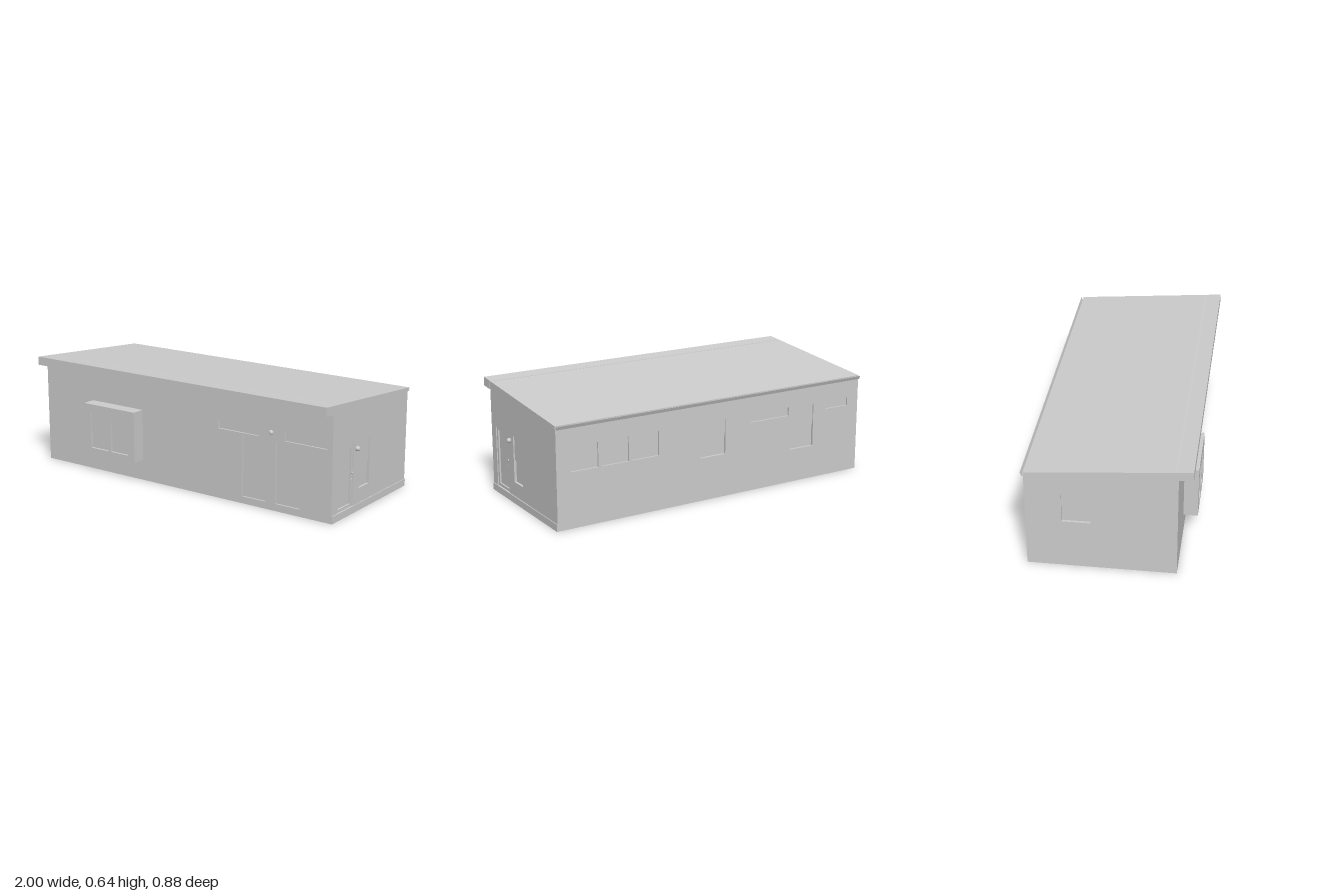
import * as THREE from 'three';

const X0 = -1, X1 = 0.978, Z0 = -0.425, Z1 = 0.365, T = 0.02;
const roofY = z => 0.604 + z * 0.083;

export function createModel() {
  const model = new THREE.Group();
  model.name = 'house';
  const plaster = new THREE.MeshStandardMaterial({ color: 0xcccccc });
  plaster.name = 'light grey plaster';

  function add(parent, geometry, name, x = 0, y = 0, z = 0) {
    const mesh = new THREE.Mesh(geometry, plaster);
    mesh.name = name;
    mesh.position.set(x, y, z);
    parent.add(mesh);
    return mesh;
  }
  const box = (parent, name, [x0, x1], [y0, y1], [z0, z1]) =>
    add(parent, new THREE.BoxGeometry(x1 - x0, y1 - y0, z1 - z0), name,
      (x0 + x1) / 2, (y0 + y1) / 2, (z0 + z1) / 2);
  const polygon = pts => new THREE.Shape(pts.map(p => new THREE.Vector2(...p)));
  const rect = (a, b, c, d) => [[a, c], [b, c], [b, d], [a, d]];
  const extrude = (shape, depth) =>
    new THREE.ExtrudeGeometry(shape, { depth, bevelEnabled: false });

  // A wall facing local +z, its outer face at z = 0, with recessed openings.
  // Opening: u0, u1, y0, y1 and an optional meeting-rail height or door leaf.
  function wall(name, outline, openings) {
    const group = new THREE.Group();
    group.name = name;
    const shape = polygon(outline);
    for (const o of openings) {
      shape.holes.push(polygon(rect(o.u[0], o.u[1], o.y[0], o.y[1])));
      if (o.rail) {
        box(group, 'upperSash', o.u, [o.rail, o.y[1]], [-T, -0.007]);
        box(group, 'lowerSash', o.u, [o.y[0], o.rail], [-T, -0.014]);
      } else if (o.leaf) {
        const b = o.leaf;
        const frame = polygon(rect(o.u[0], o.u[1], o.y[0], o.y[1]));
        frame.holes.push(polygon(rect(o.u[0] + b, o.u[1] - b, o.y[0] + b, o.y[1] - b)));
        add(group, extrude(frame, 0.015), 'doorFrame', 0, 0, -T);
        box(group, 'doorLeaf', o.u, o.y, [-T, -0.014]);
      } else {
        box(group, o.name || 'windowPane', o.u, o.y, [-T, -0.01]);
      }
    }
    add(group, extrude(shape, T), name + 'Panel', 0, 0, -T);
    model.add(group);
    return group;
  }

  // Front wall: two doors with long narrow windows above
  const frontTop = roofY(Z1);
  wall('frontWall', rect(X0 + T, X1 - T, 0, frontTop), [
    { u: [0.415, 0.565], y: [0.04, 0.385], name: 'frontDoor' },
    { u: [0.63, 0.785], y: [0.04, 0.385], name: 'frontDoor' },
    { u: [0.255, 0.52], y: [0.397, 0.447] },
    { u: [0.685, 0.945], y: [0.397, 0.447] },
  ]).position.z = Z1;

  // Back wall, where u runs along -x
  const back = wall('backWall', rect(-X1 + T, -X0 - T, 0, roofY(Z0)), [
    ...[-0.896, -0.713, -0.527].map(u => ({ u: [u, u + 0.163], y: [0.31, 0.448] })),
    { u: [-0.1, 0.065], y: [0.247, 0.447], rail: 0.347 },
    { u: [0.233, 0.498], y: [0.4, 0.45] },
    { u: [0.512, 0.675], y: [0.195, 0.447], rail: 0.322 },
    { u: [0.763, 0.923], y: [0.4, 0.447] },
  ]);
  back.rotation.y = Math.PI;
  back.position.z = Z0;

  // Door end, where u runs along -z
  const doorEnd = wall('leftWall',
    [[-Z1, 0], [-Z0, 0], [-Z0, roofY(Z0)], [-Z1, frontTop]], [
      { u: [-0.31, -0.153], y: [0.04, 0.385], leaf: 0.016 },
      { u: [-0.088, 0.017], y: [0.123, 0.385], rail: 0.25 },
    ]);
  doorEnd.rotation.y = Math.PI / 2;
  doorEnd.position.x = X1;

  // Plain end, where u runs along +z
  const plainEnd = wall('rightWall',
    [[Z0, 0], [Z1, 0], [Z1, frontTop], [Z0, roofY(Z0)]],
    [{ u: [-0.235, -0.085], y: [0.282, 0.452], rail: 0.37 }]);
  plainEnd.rotation.y = -Math.PI / 2;
  plainEnd.position.x = X0;

  // Bay window box on the front
  const bay = wall('bayWindow', rect(-0.645, -0.275, 0.12, 0.415), [
    { u: [-0.598, -0.47], y: [0.155, 0.37], rail: 0.25 },
    { u: [-0.448, -0.322], y: [0.155, 0.37], rail: 0.25 },
  ]);
  bay.position.z = 0.443;
  box(bay, 'bayBody', [-0.645, -0.275], [0.12, 0.415], [-0.078, -T]);

  // Floor and plinth strip
  box(model, 'floor', [X0 + 0.002, X1 - 0.002], [0, 0.01], [Z0 + 0.002, Z1 - 0.002]);
  box(model, 'plinth', [X1 - 0.002, X1 + 0.005], [0, 0.04], [Z0, Z1]);

  // Profiles in (z, y) swept along x: roof with deep front eave, and gutter
  function sweep(name, pts) {
    const mesh = add(model, extrude(polygon(pts), X1 + 0.003 - X0), name, X1 + 0.003);
    mesh.rotation.y = -Math.PI / 2;
  }
  sweep('roof', [[0.44, 0.592], [0.44, 0.641], [Z0, 0.57], [Z0, 0.566],
    [Z1, frontTop - 0.002], [Z1, 0.586]]);
  sweep('gutter', [[Z0, 0.57], [Z0, 0.549], [-0.434, 0.549], [-0.442, 0.568],
    [-0.44, 0.568], [-0.433, 0.551], [-0.427, 0.551], [-0.427, 0.57]]);

  // End lamp, door knob and lock
  const ball = (r, name, x, y, z) => add(model, new THREE.SphereGeometry(r, 20, 12), name, x, y, z);
  ball(0.014, 'endLamp', 0.985, 0.352, 0.124);
  ball(0.006, 'doorKnob', 0.976, 0.227, 0.16);
  box(model, 'doorLatch', [0.968, 0.977], [0.191, 0.194], [0.157, 0.174]);

  // Hooded lamp between the front doors
  const hood = add(model, new THREE.SphereGeometry(0.014, 20, 8, 0, Math.PI * 2, 0, Math.PI / 2),
    'frontLampHood', 0.6, 0.431, Z1);
  const base = add(hood, new THREE.CircleGeometry(0.014, 20), 'frontLampBase');
  base.rotation.x = Math.PI / 2;
  ball(0.009, 'frontLampBulb', 0.6, 0.428, Z1);

  return model;
}
